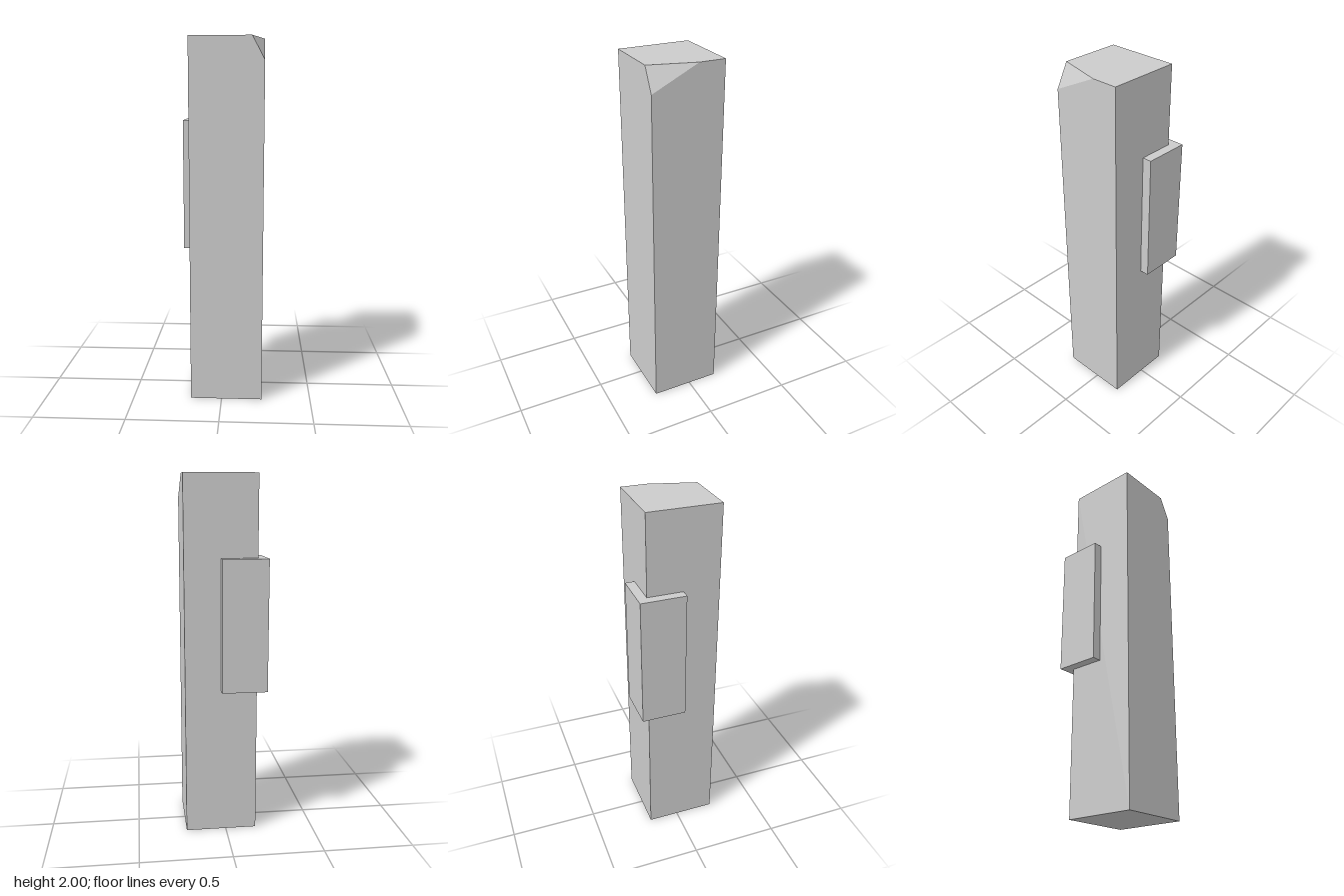
import * as THREE from 'three';
import { ConvexGeometry } from 'three/addons/geometries/ConvexGeometry.js';

export function createModel() {
  const group = new THREE.Group();
  const material = new THREE.MeshStandardMaterial({ color: 0xcccccc, flatShading: true });
  const lo = -0.174, hi = 0.226, top = 2;

  // Square post; the front left top corner is sliced off by a slanted plane
  const corners = [];
  for (const x of [lo, hi]) for (const z of [lo, hi]) for (const y of [0, top]) {
    if (x === hi && z === hi && y === top) continue;
    corners.push(new THREE.Vector3(x, y, z));
  }
  corners.push(
    new THREE.Vector3(0.159, top, hi),
    new THREE.Vector3(hi, top, -0.03),
    new THREE.Vector3(hi, 1.875, hi)
  );
  const post = new THREE.Mesh(new ConvexGeometry(corners), material);
  post.name = 'post';
  group.add(post);

  // Block set into the opposite rear edge, standing slightly proud of the post
  const yMin = 0.828, yMax = 1.558;
  const block = new THREE.Mesh(new THREE.BoxGeometry(0.252, yMax - yMin, 0.25), material);
  block.name = 'edgeBlock';
  block.position.set(-0.1, (yMin + yMax) / 2, -0.101);
  group.add(block);

  return group;
}
